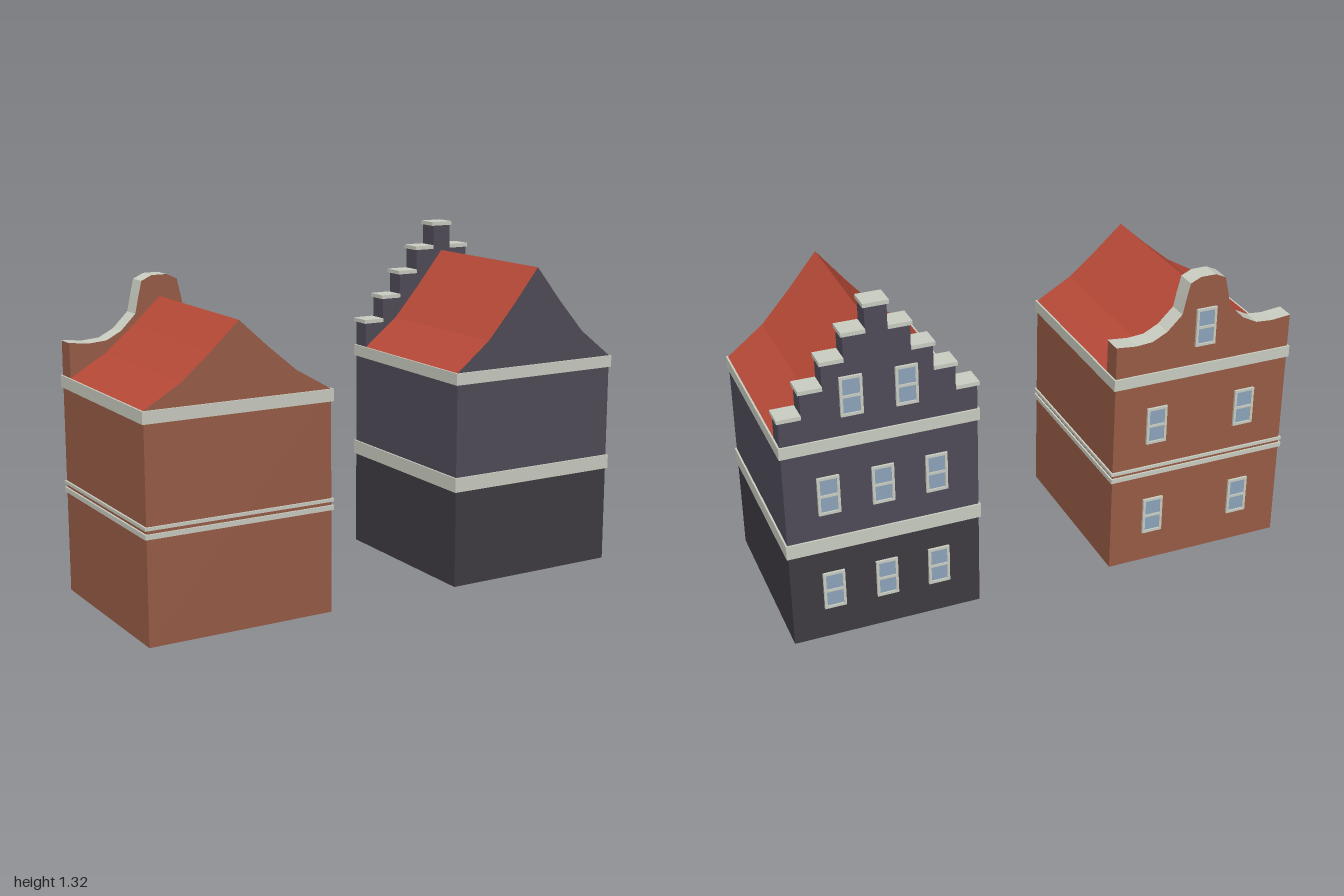
import * as THREE from 'three';

const mat = (color, side = THREE.FrontSide) =>
  new THREE.MeshStandardMaterial({ color, side, flatShading: true });
const BRICK = mat(0x9a5d47), SLATE = mat(0x504c59), DARK = mat(0x3f3c43);
const ROOF = mat(0xb94a38), TRIM = mat(0xcccfc3), GLASS = mat(0x8fa6bd), GREY = mat(0xcccccc);

const HALF = 0.36;       // half width and depth of a house
const EAVES = 0.83;      // top of the upper cornice
const GABLE_IN = -0.285; // inner face of the parapet gable

function add(parent, name, geometry, material, x = 0, y = 0, z = 0) {
  const mesh = new THREE.Mesh(geometry, material);
  mesh.name = name;
  mesh.position.set(x, y, z);
  parent.add(mesh);
  return mesh;
}

// box given by half width, y range and z range, centred on x
function block(parent, name, half, y0, y1, z0, z1, material, x = 0) {
  const geometry = new THREE.BoxGeometry(half * 2, y1 - y0, z1 - z0);
  return add(parent, name, geometry, material, x, (y0 + y1) / 2, (z0 + z1) / 2);
}

const band = (parent, name, y0, y1) => block(parent, name, 0.367, y0, y1, -0.367, 0.367, TRIM);

const mirrored = (pts) =>
  [...pts, ...pts.filter(([x]) => x > 0).reverse().map(([x, y]) => [-x, y])];
const extrude = (pts, depth) => new THREE.ExtrudeGeometry(
  new THREE.Shape(pts.map(([x, y]) => new THREE.Vector2(x, y))), { depth, bevelEnabled: false });

// flared saddle roof whose front end shows the wall colour
function addRoof(house, rise, wall) {
  const half = [[HALF, 0], [0.22, 0.297], [0.11, 0.635], [0, 1]];
  const profile = mirrored(half.map(([x, t]) => [x, EAVES + t * rise]));
  add(house, 'roof', extrude(profile, HALF - GABLE_IN), [wall, ROOF], 0, 0, GABLE_IN);
}

// frame with two openings, a glass pane and a raised upper sash
function addWindow(house, x, y) {
  const w = new THREE.Group();
  w.name = 'window';
  const rect = (path, x0, y0, x1, y1) =>
    path.moveTo(x0, y0).lineTo(x1, y0).lineTo(x1, y1).lineTo(x0, y1).closePath();
  const frame = rect(new THREE.Shape(), -0.041, -0.076, 0.041, 0.076);
  for (const y0 of [-0.066, 0.005]) {
    frame.holes.push(rect(new THREE.Path(), -0.031, y0, 0.031, y0 + 0.061));
  }
  add(w, 'windowFrame', new THREE.ExtrudeGeometry(frame, { depth: 0.009, bevelEnabled: false }), TRIM);
  block(w, 'lowerPane', 0.032, -0.067, -0.004, 0, 0.003, GLASS);
  block(w, 'upperPane', 0.032, 0.004, 0.067, 0, 0.005, GLASS);
  w.position.set(x, y, -HALF);
  w.rotation.y = Math.PI;
  house.add(w);
}

function addWindows(house, floorXs, gableXs) {
  for (const y of [0.205, 0.605]) floorXs.forEach((x) => addWindow(house, x, y));
  gableXs.forEach((x) => addWindow(house, x, 0.982));
}

function addBase(house) {
  add(house, 'underside', new THREE.PlaneGeometry(HALF * 2, HALF * 2), GREY).rotation.x = Math.PI / 2;
}

// brick house with a bell-shaped gable
function bellGableHouse() {
  const house = new THREE.Group();
  house.name = 'bellGableHouse';
  addBase(house);
  block(house, 'walls', HALF, 0.002, EAVES - 0.002, -HALF, HALF, BRICK);
  band(house, 'lowerStringCourse', 0.387, 0.405);
  band(house, 'upperStringCourse', 0.418, 0.43);
  band(house, 'cornice', 0.785, EAVES);
  addRoof(house, 0.275, BRICK);

  const curve = mirrored([[HALF, 0.957], [0.28, 0.949], [0.215, 0.954], [0.157, 0.984],
    [0.098, 1.043], [0.086, 1.1], [0.071, 1.163], [0.03, 1.182]]);
  const depth = GABLE_IN + HALF;
  add(house, 'bellGable', extrude([[-HALF, 0.82], [HALF, 0.82], ...curve], depth), BRICK, 0, 0, -HALF);
  // thin stone coping along the curve
  const under = curve.map(([x, y]) => [x * 0.995, y - 0.001]).reverse();
  const over = curve.map(([x, y]) => [x * 1.005, y + 0.003]);
  add(house, 'coping', extrude([...over, ...under], depth), [BRICK, TRIM], 0, 0, -HALF);

  addWindows(house, [-0.185, 0.185], [0]);
  return house;
}

// slate-coloured house with a stepped gable
function stepGableHouse() {
  const house = new THREE.Group();
  house.name = 'stepGableHouse';
  addBase(house);
  block(house, 'lowerWalls', HALF, 0.002, 0.4, -HALF, HALF, DARK);
  block(house, 'upperWalls', HALF, 0.4, EAVES - 0.002, -HALF, HALF, SLATE);
  band(house, 'middleBand', 0.375, 0.43);
  band(house, 'cornice', 0.785, EAVES);
  addRoof(house, 0.37, SLATE);

  // five steps, each with stone caps on its exposed ends
  let bottom = 0.82;
  for (let i = 0; i < 5; i++) {
    const half = HALF - i * 0.08, top = 0.925 + i * 0.094;
    block(house, 'gableStep', half, bottom, top, -HALF, GABLE_IN, SLATE);
    if (i === 4) block(house, 'stepCap', half + 0.007, top, top + 0.015, -0.367, GABLE_IN + 0.003, TRIM);
    else for (const s of [-1, 1]) {
      block(house, 'stepCap', 0.0435, top, top + 0.015, -0.367, GABLE_IN + 0.003, TRIM, s * (half - 0.0365));
    }
    bottom = top;
  }

  addWindows(house, [-0.2, 0, 0.2], [-0.1, 0.1]);
  return house;
}

export function createModel() {
  const model = new THREE.Group();
  model.name = 'gabledHouses';
  const bell = bellGableHouse(), step = stepGableHouse();
  bell.position.x = -0.631;
  step.position.x = 0.631;
  model.add(bell, step);
  return model;
}
